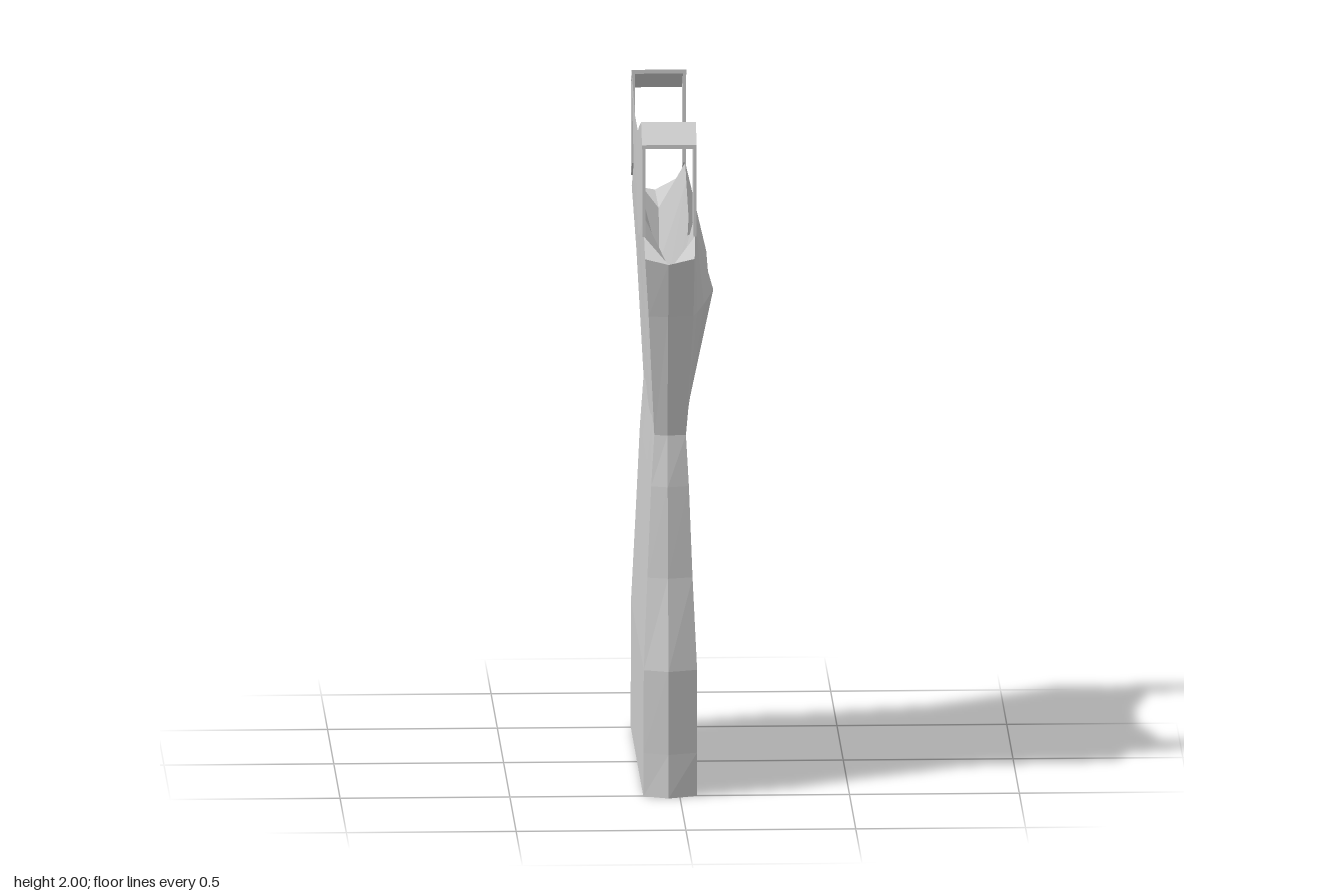
import * as THREE from 'three';

// One column per entry, from the centre of the garment outwards to its side
const U = [0, 0.04, 0.24, 0.56, 0.75, 0.87, 1];
const flat = v => U.map(() => v);

// Levels from hem to underarm: half-width of panel edge, half-width of side ridge,
// back x, then height and front x for each column
const LEVELS = [
  { edge: 0.505, mid: 0.54, back: -0.108, y: flat(0), x: flat(0.05) },
  { edge: 0.505, mid: 0.535, back: -0.108, y: flat(0.13), x: flat(0.05) },
  { edge: 0.51, mid: 0.54, back: -0.107, y: flat(0.38), x: flat(0.05) },
  { edge: 0.47, mid: 0.49, back: -0.095, y: flat(0.65), x: flat(0.038) },
  { edge: 0.45, mid: 0.467, back: -0.083, y: flat(0.92), x: flat(0.028) },
  { edge: 0.43, mid: 0.44, back: -0.073, x: flat(0.02),
    y: [1.065, 1.065, 1.07, 1.09, 1.085, 1.075, 1.07] },
  { edge: 0.495, mid: 0.508, back: -0.092, z: [0, 0.015, 0.1, 0.28, 0.37, 0.44, 0.495],
    y: [1.41, 1.412, 1.43, 1.475, 1.45, 1.44, 1.44],
    x: [0.045, 0.052, 0.106, 0.106, 0.075, 0.053, 0.04] },
  { edge: 0.535, mid: 0.549, back: -0.104, z: [0, 0.02, 0.12, 0.3, 0.38, 0.45, 0.535],
    y: [1.58, 1.585, 1.61, 1.68, 1.72, 1.67, 1.62], midY: 1.605,
    x: [0.04, 0.042, 0.048, 0.048, 0.048, 0.046, 0.042] },
];

// Mirror a half row of points [x, y, z] into a full row running from +z to -z
const fullRow = half => [...half.slice(1).reverse(), ...half.map(([x, y, z]) => [x, y, -z])];

const frontRow = l => fullRow(U.map((u, i) => [l.x[i], l.y[i], l.z ? l.z[i] : u * l.edge]));
const backRow = l => fullRow(U.map((u, i) => [l.back, l.y[i], l.z ? l.z[i] : u * l.edge])).reverse();

// Closed outline of one level: front, side ridge, back, other side ridge
function ring(l) {
  const y = l.midY ?? l.y[6], f = frontRow(l);
  return [...f, [-0.035, y, -l.mid], ...backRow(l), [-0.035, y, l.mid], f[0]];
}

// Surface through rows of points, columns to the right and rows upwards
function loft(rows) {
  const n = rows[0].length, index = [];
  for (let r = 0; r < rows.length - 1; r++) {
    for (let c = 0; c < n - 1; c++) {
      const a = r * n + c, d = a + n;
      index.push(a, a + 1, d + 1, a, d + 1, d);
    }
  }
  const g = new THREE.BufferGeometry();
  g.setAttribute('position', new THREE.Float32BufferAttribute(rows.flat(2), 3));
  g.setIndex(index);
  const out = g.toNonIndexed();
  out.computeVertexNormals();
  return out;
}

// Thin plate with a (z, y) outline, running from x0 to x1
function plate(points, x0, x1) {
  const shape = new THREE.Shape(points.map(([z, y]) => new THREE.Vector2(-z, y)));
  const g = new THREE.ExtrudeGeometry(shape, { depth: x1 - x0, bevelEnabled: false });
  return g.rotateY(Math.PI / 2).translate(x0, 0, 0);
}

export function createModel() {
  const group = new THREE.Group();
  const fabric = new THREE.MeshStandardMaterial({ color: 0xcccccc, flatShading: true, side: THREE.DoubleSide });
  fabric.name = 'light grey fabric';
  const add = (name, geometry) => {
    const m = new THREE.Mesh(geometry, fabric);
    m.name = name;
    group.add(m);
  };

  // Outer body with shaped bust and faceted sides
  add('body', loft(LEVELS.map(ring)));

  // Closed hem, from back edge to ridge line to front edge
  const hem = LEVELS[0], top = LEVELS[7];
  const ridge = (l, y) => fullRow(U.map(u => [-0.035, y, u * l.mid]));
  add('hem', loft([backRow(hem).reverse(), ridge(hem, 0), frontRow(hem)]));

  // Lining: a V-shaped pocket that rises to the armholes
  const valleyY = [1.2, 1.2, 1.2, 1.25, 1.42, 1.57, 1.605];
  const valley = fullRow(top.z.map((z, i) => [i < 6 ? -0.028 : -0.035, valleyY[i], i < 6 ? z : top.mid]));
  add('lining', loft([frontRow(top), valley, backRow(top).reverse()]));

  // Upper back panel between the shoulders
  const upperZ = [0, 0.06, 0.12, 0.22, 0.38, 0.45];
  const upperY = [1.92, 1.92, 1.92, 1.955, 2, 1.945];
  const lower = fullRow(upperZ.map((z, i) => [top.back, top.y[i], top.z[i]])).reverse();
  const upper = fullRow(upperZ.map((z, i) => [-0.11, upperY[i], z])).reverse();
  add('upperBack', loft([lower, upper]));

  // Shoulder straps: front band, back band and sloping top
  for (const [side, s] of [['left', 1], ['right', -1]]) {
    const band = [[0.38 * s, 1.72], [0.45 * s, 1.67], [0.45 * s, 1.945], [0.38 * s, 2]];
    const cap = [[0.38 * s, 1.988], [0.45 * s, 1.933], [0.45 * s, 1.945], [0.38 * s, 2]];
    add(side + 'StrapFront', plate(band, 0.041, 0.05));
    add(side + 'StrapBack', plate(band, -0.109, -0.1));
    add(side + 'StrapTop', plate(cap, -0.11, 0.051));
  }

  // Centre on x and z
  group.children.forEach(m => m.geometry.translate(0.001, 0, 0));
  return group;
}
